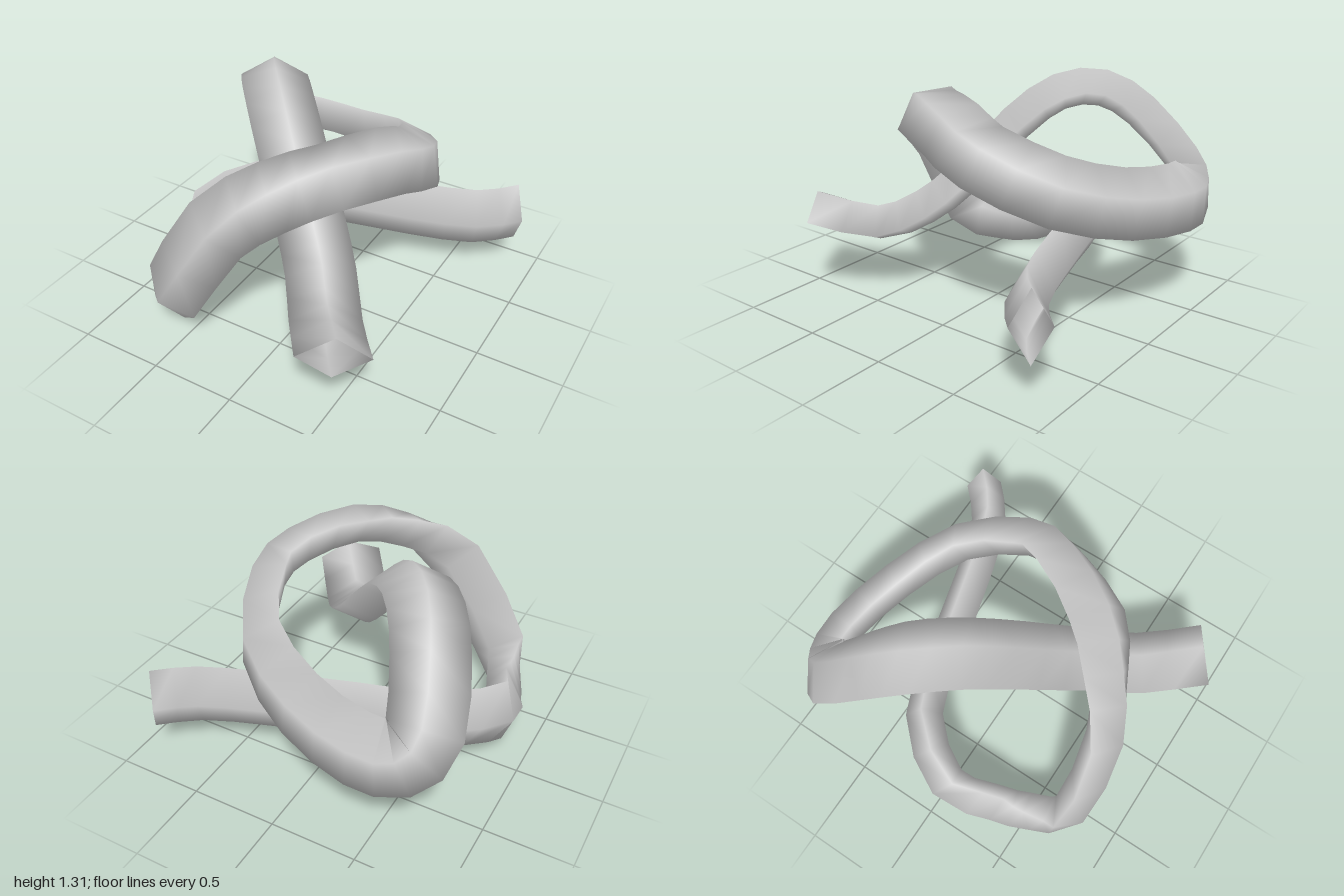
import * as THREE from 'three';

// Centre line of the knot
const PATH = [
  [0.86, 0.40, -0.85], [0.66, 0.39, -0.68], [0.30, 0.40, -0.55], [-0.20, 0.42, -0.41],
  [-0.60, 0.42, -0.28], [-0.84, 0.33, 0.04], [-0.77, 0.20, 0.32], [-0.70, 0.19, 0.52],
  [-0.58, 0.28, 0.71], [-0.25, 0.82, 0.69], [0, 1.02, 0.53], [0.22, 1.10, 0.33],
  [0.40, 1.08, 0], [0.45, 0.99, -0.24], [0.28, 0.83, -0.59], [-0.08, 0.71, -0.80],
  [-0.46, 0.66, -0.90], [-0.67, 0.67, -0.87], [-0.75, 0.79, -0.76], [-0.66, 1.05, -0.53],
  [-0.54, 1.18, -0.34], [-0.38, 1.16, -0.15], [-0.20, 0.99, 0.02], [0.04, 0.68, 0.22],
  [0.20, 0.51, 0.38], [0.36, 0.41, 0.60], [0.58, 0.50, 0.90],
];

// Direction of the section's wide axis at the given path points
const TWIST = [
  { at: 0, axis: [0, 1, 0] },
  { at: 6, axis: [0, 1, 0] },
  { at: 7, axis: [-0.25, 1, 0] },
  { at: 9, axis: [-0.8, 0.6, 0] },
  { at: 11, axis: [-0.7, 0.5, -0.5] },
  { at: 13, axis: [-0.68, 0.73, 0] },
  { at: 15, axis: [-0.18, 0.88, 0.42] },
  { at: 16, axis: [0, 0.88, 0.47] },
  { at: 18, axis: [1, 0.1, -0.15] },
  { at: 21, axis: [0.78, 0, -0.62] },
  { at: 26, axis: [0.87, -0.1, -0.49] },
];

const HALF_WIDE = 0.195;
const HALF_THIN = 0.107;
const SIDES = 4;
const RINGS = 52;

// Blends the wide axis between the two nearest twist keys
function wideAxisAt(station) {
  const next = Math.max(1, TWIST.findIndex((key) => key.at >= station));
  const from = TWIST[next - 1];
  const to = TWIST[next];
  const blend = (station - from.at) / (to.at - from.at);
  return new THREE.Vector3(...from.axis).lerp(new THREE.Vector3(...to.axis), blend);
}

// Sweeps an open diamond section along the path
function sweepTube() {
  const path = new THREE.CatmullRomCurve3(
    PATH.map((p) => new THREE.Vector3(...p)), false, 'catmullrom', 0.5);
  const positions = [];
  const index = [];

  for (let i = 0; i <= RINGS; i++) {
    const t = i / RINGS;
    const centre = path.getPoint(t);
    const tangent = path.getTangent(t);
    const wide = wideAxisAt(t * (PATH.length - 1)).projectOnPlane(tangent).normalize();
    const thin = new THREE.Vector3().crossVectors(tangent, wide);

    for (let j = 0; j < SIDES; j++) {
      const angle = (j / SIDES) * Math.PI * 2;
      const p = centre.clone()
        .addScaledVector(wide, Math.cos(angle) * HALF_WIDE)
        .addScaledVector(thin, Math.sin(angle) * HALF_THIN);
      positions.push(p.x, p.y, p.z);

      if (i < RINGS) {
        const a = i * SIDES + j;
        const b = i * SIDES + ((j + 1) % SIDES);
        index.push(a, b, a + SIDES, b, b + SIDES, a + SIDES);
      }
    }
  }

  const geometry = new THREE.BufferGeometry();
  geometry.setAttribute('position', new THREE.Float32BufferAttribute(positions, 3));
  geometry.setIndex(index);
  geometry.computeVertexNormals();
  return geometry;
}

export function createModel() {
  const group = new THREE.Group();
  group.name = 'knot';

  // Open-ended knotted tube, standing on the ground
  const tube = new THREE.Mesh(
    sweepTube(),
    new THREE.MeshStandardMaterial({ color: 0xcccccc, side: THREE.DoubleSide }));
  tube.name = 'knottedTube';
  tube.position.y = -new THREE.Box3().setFromObject(tube).min.y;
  group.add(tube);
  return group;
}
